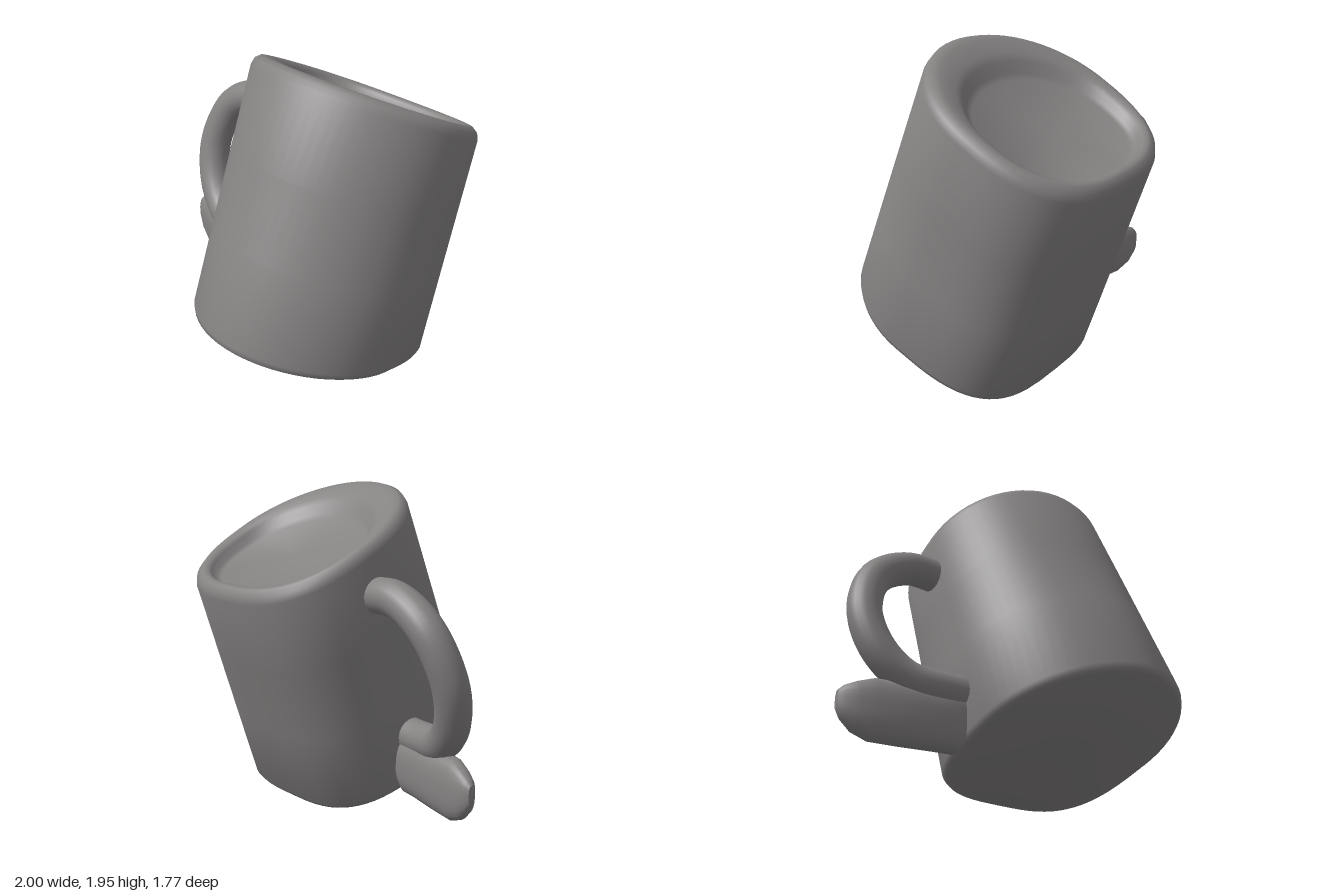
import * as THREE from 'three';
import { toCreasedNormals } from 'three/addons/utils/BufferGeometryUtils.js';

const SIDES = 64;

// Skin a closed surface over rings; ringPoint(ring, cos, sin) gives [x, y, z]
function loft(rings, ringPoint) {
  const positions = [];
  const index = [];
  rings.forEach((ring, i) => {
    for (let j = 0; j < SIDES; j++) {
      const a = (j / SIDES) * Math.PI * 2;
      positions.push(...ringPoint(ring, Math.cos(a), Math.sin(a)));
      if (i === rings.length - 1) continue;
      const p = i * SIDES + j;
      const q = i * SIDES + ((j + 1) % SIDES);
      index.push(p, p + SIDES, q, q, p + SIDES, q + SIDES);
    }
  });
  const geometry = new THREE.BufferGeometry();
  geometry.setAttribute('position', new THREE.Float32BufferAttribute(positions, 3));
  geometry.setIndex(index);
  return toCreasedNormals(geometry, 0.75);
}

// Powers below 1 make a round section squarer
const bulge = (v, power) => Math.sign(v) * Math.abs(v) ** power;

export function createModel() {
  const model = new THREE.Group();
  const grey = new THREE.MeshStandardMaterial({ color: 0x858282 });
  const add = (name, geometry) => {
    const mesh = new THREE.Mesh(geometry, grey);
    mesh.name = name;
    model.add(mesh);
  };
  const lerp = THREE.MathUtils.lerp;

  // Leaning cup with a shallow recess on top, squarer at the back:
  // [height along axis, width scale, depth scale, shift to the back]
  const cupRings = [
    [0, 0, 0, 0],
    [0, 0.95, 0.95, 0],
    [0.008, 0.98, 0.98, 0],
    [0.03, 1, 1, 0],
    [0.35, 1, 1, 0],
    [0.65, 1, 1, 0],
    [0.955, 1, 1, 0],
    [0.982, 0.98, 0.98, 0],
    [0.998, 0.935, 0.93, 0],
    [1, 0.9, 0.88, 0.015],
    [0.993, 0.84, 0.77, 0.06],
    [0.98, 0.81, 0.72, 0.08],
    [0.95, 0.78, 0.67, 0.095],
    [0.938, 0.74, 0.62, 0.1],
    [0.935, 0, 0, 0.1],
  ];
  add('cup', loft(cupRings, ([t, sx, sz, shift], c, s) => {
    const tilt = THREE.MathUtils.degToRad(lerp(20.5, 28.4, t));
    const power = s < 0 ? lerp(0.62, 0.75, t) : lerp(1.04, 0.99, t);
    const depth = lerp(0.72, 0.65, t) * sz * bulge(s, power) - shift;
    return [
      lerp(0.335, 0.312, t) + lerp(0.663, 0.673, t) * sx * bulge(c, power),
      lerp(0.247, 1.672, t) + depth * Math.sin(tilt),
      lerp(0.235, -0.325, t) + depth * Math.cos(tilt),
    ];
  }));

  // Curved handle, following the lean of the cup
  const handlePath = new THREE.CatmullRomCurve3([
    [-0.25, 1.35, -0.29],
    [-0.52, 1.35, -0.31],
    [-0.75, 1.21, -0.31],
    [-0.855, 0.93, -0.24],
    [-0.8, 0.68, -0.16],
    [-0.65, 0.52, -0.09],
    [-0.45, 0.48, -0.03],
    [-0.25, 0.48, 0],
  ].map((p) => new THREE.Vector3(...p)));
  add('handle', new THREE.TubeGeometry(handlePath, 48, 0.104, 20, false));

  // Flattened tail below the handle: [x, y, z, half height, half thickness]
  const tailRings = [
    [-0.27, 0.34, -0.03, 0, 0],
    [-0.27, 0.34, -0.03, 0.12, 0.09],
    [-0.34, 0.3, -0.03, 0.18, 0.1],
    [-0.45, 0.3, -0.05, 0.18, 0.1],
    [-0.65, 0.3, -0.1, 0.18, 0.1],
    [-0.82, 0.305, -0.15, 0.18, 0.085],
    [-0.91, 0.31, -0.18, 0.145, 0.07],
    [-0.97, 0.325, -0.2, 0.1, 0.05],
    [-1, 0.335, -0.21, 0.06, 0.025],
    [-1, 0.335, -0.21, 0, 0],
  ];
  add('tail', loft(tailRings, ([x, y, z, h, w], c, s) => [x, y + h * bulge(c, 0.8), z + w * bulge(s, 0.8)]));

  return model;
}
